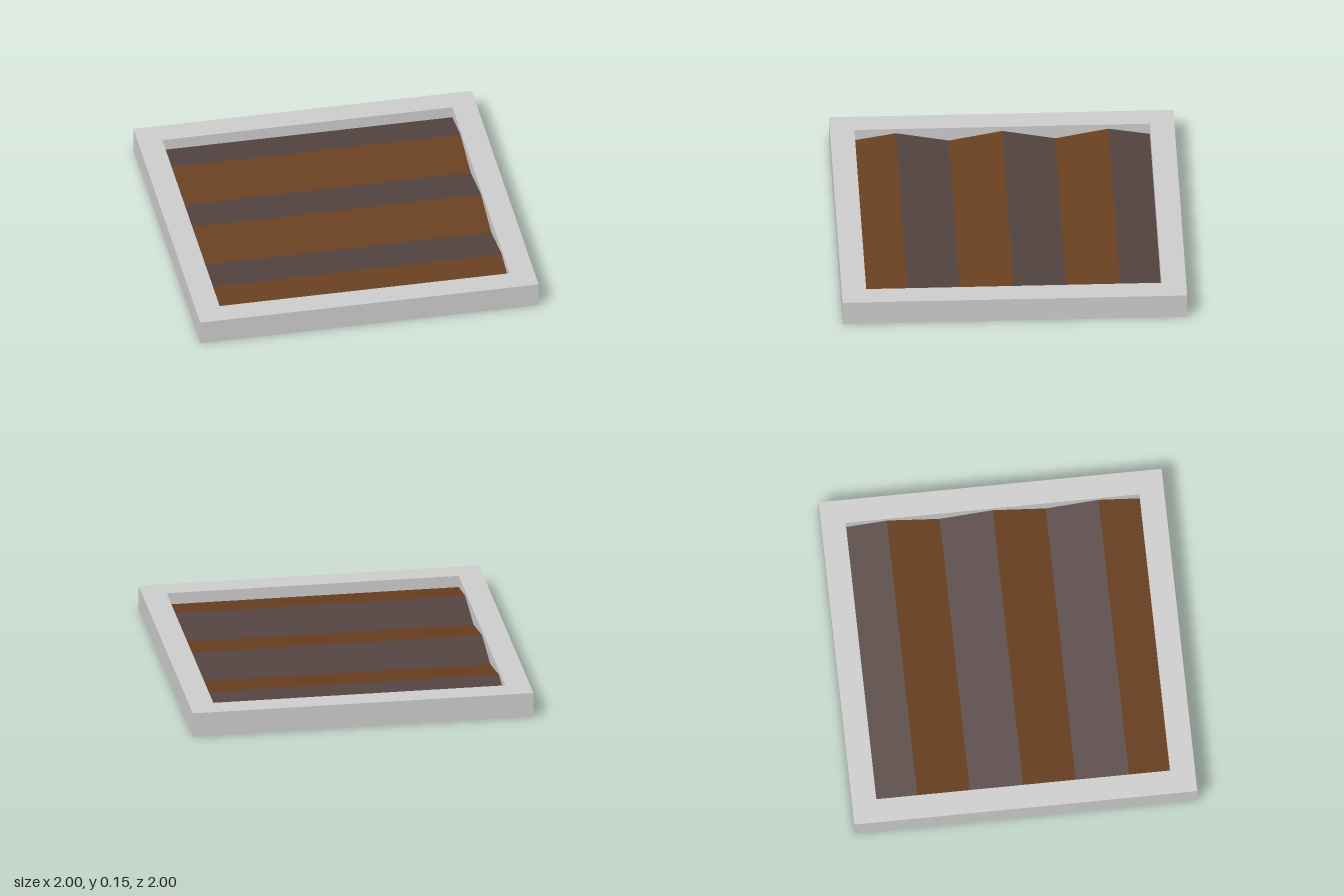
import * as THREE from 'three';

const HEIGHT = 0.146; // frame height
const INNER = 0.857;  // half width of the opening

// One sloping strip of the folded sheet, spanning the opening in x
function makeStrip([z0, y0], [z1, y1], material) {
  const geometry = new THREE.PlaneGeometry(2 * INNER, 1);
  geometry.rotateX(-Math.PI / 2);
  const pos = geometry.attributes.position;
  for (let i = 0; i < pos.count; i++) {
    const back = pos.getZ(i) < 0;
    pos.setY(i, back ? y0 : y1);
    pos.setZ(i, back ? z0 : z1);
  }
  geometry.computeVertexNormals();
  return new THREE.Mesh(geometry, material);
}

export function createModel() {
  const model = new THREE.Group();
  model.name = 'framedRidges';

  // Square frame: full-length front and back rails, side rails between them
  const grey = new THREE.MeshStandardMaterial({ color: 0xcccccc });
  const railWidth = 1 - INNER;
  const railCentre = (1 + INNER) / 2;
  const addRail = (name, w, d, x, z) => {
    const rail = new THREE.Mesh(new THREE.BoxGeometry(w, HEIGHT, d), grey);
    rail.name = name;
    rail.position.set(x, HEIGHT / 2, z);
    model.add(rail);
  };
  addRail('frontRail', 2, railWidth, 0, railCentre);
  addRail('backRail', 2, railWidth, 0, -railCentre);
  addRail('leftRail', railWidth, 2 * INNER, railCentre, 0);
  addRail('rightRail', railWidth, 2 * INNER, -railCentre, 0);

  // Folded sheet: dark strips rise toward the front, brown strips fall
  const dark = new THREE.MeshStandardMaterial({ color: 0x534340, side: THREE.DoubleSide });
  const brown = new THREE.MeshStandardMaterial({ color: 0x683e1f, side: THREE.DoubleSide });
  const peak = 0.118, valley = 0.06, end = 0.076;
  const profile = [
    [-INNER, end], [-0.617, peak], [-0.309, valley], [0, peak],
    [0.309, valley], [0.617, peak], [INNER, end],
  ];
  const sheet = new THREE.Group();
  sheet.name = 'foldedSheet';
  for (let i = 0; i < profile.length - 1; i++) {
    const rising = i % 2 === 0;
    const strip = makeStrip(profile[i], profile[i + 1], rising ? dark : brown);
    strip.name = rising ? 'darkStrip' : 'brownStrip';
    sheet.add(strip);
  }
  model.add(sheet);

  return model;
}
